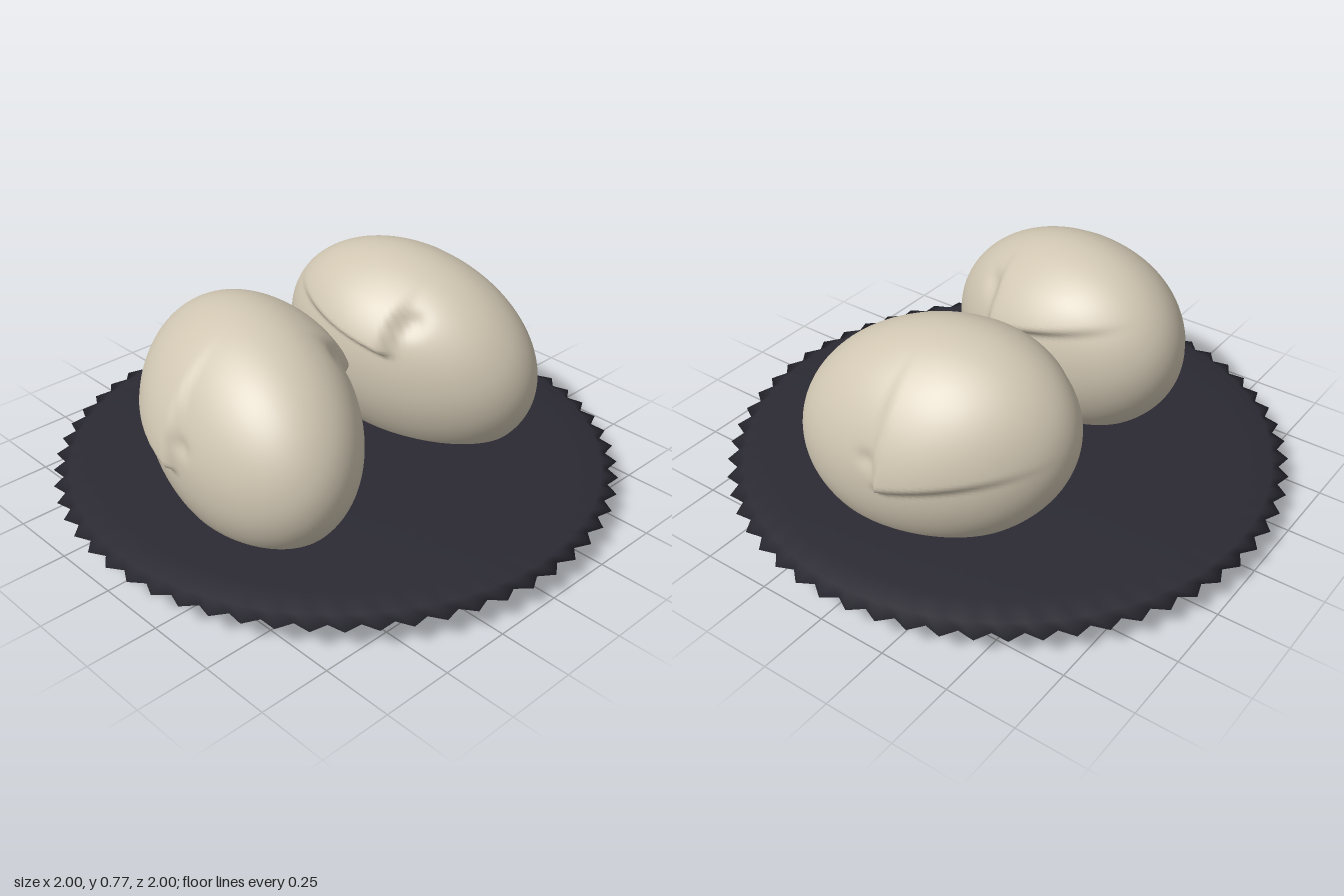
import * as THREE from 'three';
import { mergeVertices } from 'three/addons/utils/BufferGeometryUtils.js';

const step = THREE.MathUtils.smoothstep;

// Weld seams so the recomputed normals are smooth
function weld(geometry) {
  geometry.deleteAttribute('uv');
  geometry.deleteAttribute('normal');
  const welded = mergeVertices(geometry, 1e-5);
  welded.computeVertexNormals();
  return welded;
}

// Raised flap that starts sharply at zFront, above a ridge rising to the back
function flap(y, z, zFront, yCorner, slope, height) {
  const above = y - (yCorner + slope * (zFront - z));
  const back = zFront - z;
  return step(above, -0.015, 0.02) * step(back, -0.015, 0.02)
    * (1 - step(above, 0, height)) * (1 - step(back, 0.1, 0.6));
}

function dent(y, z, y0, z0, r) {
  return Math.exp(-((y - y0) ** 2 + (z - z0) ** 2) / (r * r));
}

// Tilted, slightly turned egg with a creased flap on each flank
function eggGeometry(side) {
  const geometry = new THREE.SphereGeometry(1, 128, 104);
  const pos = geometry.attributes.position;
  for (let i = 0; i < pos.count; i++) {
    const u = pos.getY(i), v = pos.getZ(i), w = side * pos.getX(i);
    const y = 0.39 + 0.387 * u;
    const z = -0.059 * u + 0.478 * v;
    let x = 0.385 - 0.04 * u + 0.056 * v + 0.323 * w;
    const flank = Math.min(1, Math.abs(w) * 1.5);
    if (w > 0) {
      x += flank * (0.034 * flap(y, z, 0, 0.33, 0.27, 0.5) - 0.012 * dent(y, z, 0.43, 0.04, 0.03));
    } else {
      x -= flank * (0.04 * flap(y, z, 0.15, 0.5, 0.23, 0.32) - 0.02 * dent(y, z, 0.61, 0.19, 0.04));
    }
    pos.setXYZ(i, side * x, y, z);
  }
  return weld(geometry);
}

// Thin lens-shaped plate with a zigzag rim
function plateGeometry() {
  const half = [[0, 0.05], [0.25, 0.049], [0.5, 0.044], [0.7, 0.037], [0.85, 0.028], [0.94, 0.019]];
  const profile = [
    ...half.map(([r, h]) => new THREE.Vector2(r, -h)),
    new THREE.Vector2(1, 0),
    ...half.reverse().map(([r, h]) => new THREE.Vector2(r, h)),
  ];
  const geometry = new THREE.LatheGeometry(profile, 120);
  const pos = geometry.attributes.position;
  const rim = half.length;
  for (let s = 1; s < 120; s += 2) {
    const i = s * profile.length + rim;
    pos.setXYZ(i, pos.getX(i) * 0.965, 0, pos.getZ(i) * 0.965);
  }
  return weld(geometry);
}

export function createModel() {
  const group = new THREE.Group();
  const shell = new THREE.MeshStandardMaterial({ color: 0xd0c6b2 });
  shell.name = 'cream shell';
  const dark = new THREE.MeshStandardMaterial({ color: 0x2b2a33 });
  dark.name = 'dark slate';

  const plate = new THREE.Mesh(plateGeometry(), dark);
  plate.name = 'plate';
  plate.position.y = 0.095;
  group.add(plate);

  for (const side of [1, -1]) {
    const egg = new THREE.Mesh(eggGeometry(side), shell);
    egg.name = side > 0 ? 'leftEgg' : 'rightEgg';
    group.add(egg);
  }
  return group;
}
